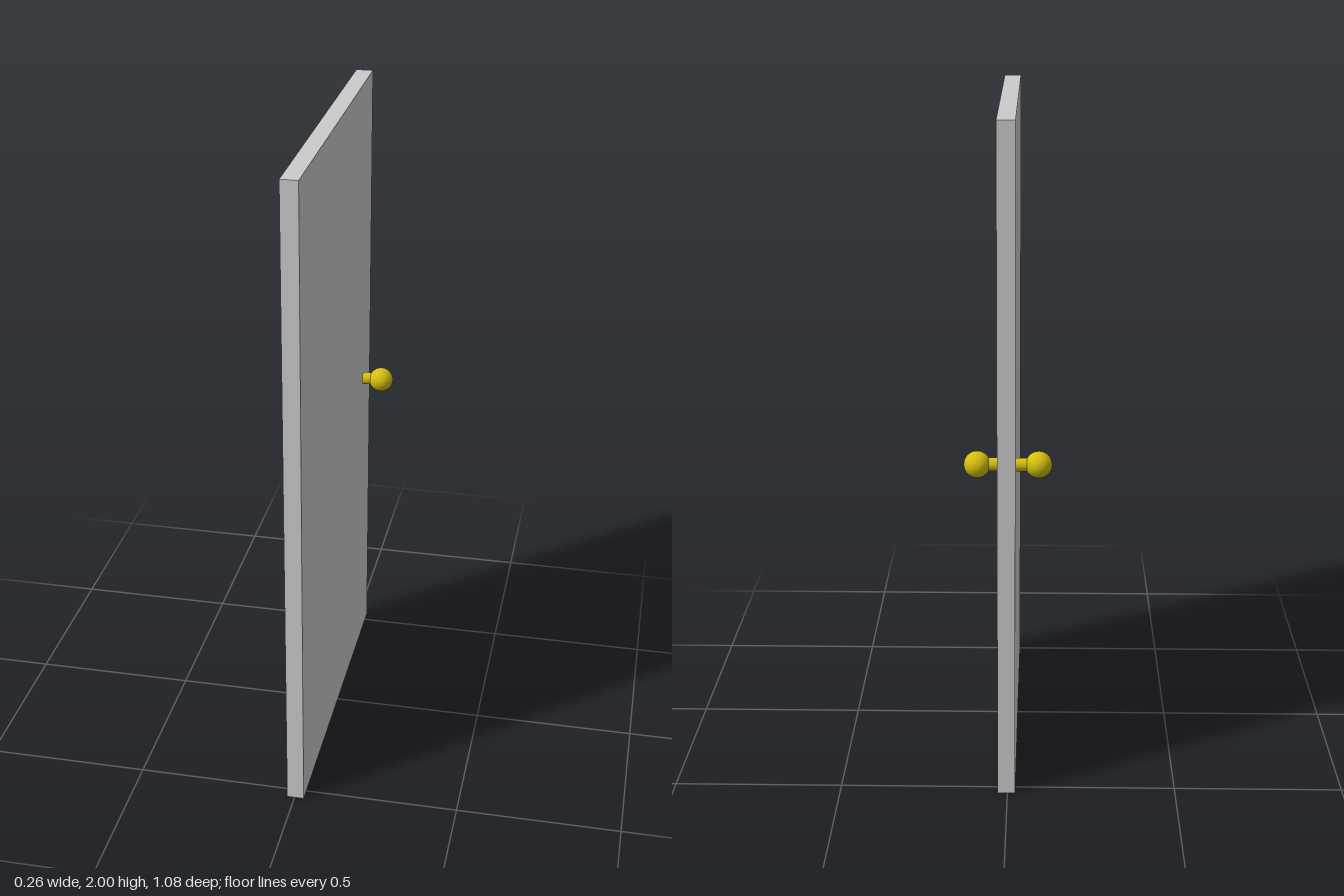
import * as THREE from 'three';

export function createModel() {
  const door = new THREE.Group();
  door.name = 'door';
  const grey = new THREE.MeshStandardMaterial({ color: 0xcccccc });
  const brass = new THREE.MeshStandardMaterial({ color: 0xd4bf10 });

  const add = (name, geometry, material, x, y, z) => {
    const mesh = new THREE.Mesh(geometry, material);
    mesh.name = name;
    mesh.position.set(x, y, z);
    door.add(mesh);
    return mesh;
  };

  // Plain door slab, slightly off centre between the knobs
  add('doorPanel', new THREE.BoxGeometry(0.052, 2, 1.077), grey, 0.003, 1, 0);

  // Spindle running through the slab
  const knobY = 0.996, knobZ = -0.422, knobX = 0.089;
  const spindle = add('knobSpindle', new THREE.CylinderGeometry(0.0195, 0.0195, 2 * knobX, 32), brass, 0, knobY, knobZ);
  spindle.rotation.z = Math.PI / 2;

  // A round knob on each face
  for (const side of [1, -1]) {
    add(side > 0 ? 'leftKnob' : 'rightKnob', new THREE.SphereGeometry(0.039, 32, 16), brass, side * knobX, knobY, knobZ);
  }
  return door;
}
